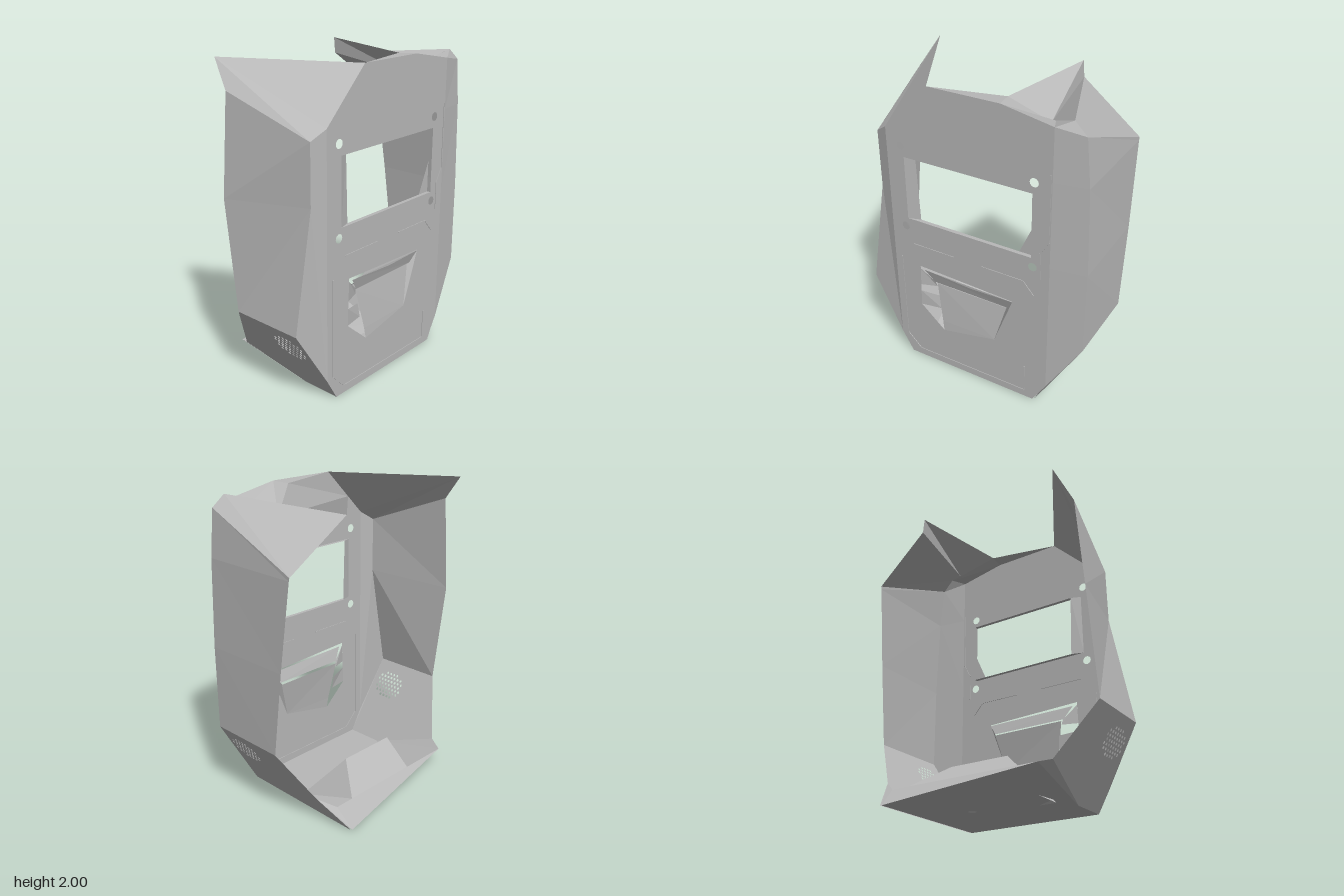
import * as THREE from 'three';

const shell = new THREE.MeshStandardMaterial({ color: 0xb8b8b8, flatShading: true, side: THREE.DoubleSide });
shell.name = 'shell grey';

// Flat outline with holes, mapped into space by a rule (u, v) -> [x, y, z]
function sheet(name, outline, holes, map) {
  const shape = new THREE.Shape(outline.map(p => new THREE.Vector2(...p)));
  for (const h of holes) shape.holes.push(new THREE.Path(h.map(p => new THREE.Vector2(...p))));
  const geo = new THREE.ShapeGeometry(shape).toNonIndexed();
  const pos = geo.attributes.position;
  for (let i = 0; i < pos.count; i++) pos.setXYZ(i, ...map(pos.getX(i), pos.getY(i)));
  geo.computeVertexNormals();
  const mesh = new THREE.Mesh(geo, shell);
  mesh.name = name;
  return mesh;
}

// Facets: each is a fan of corner points
function facets(name, polys) {
  const out = [];
  for (const p of polys)
    for (let i = 1; i < p.length - 1; i++) out.push(...p[0], ...p[i], ...p[i + 1]);
  const geo = new THREE.BufferGeometry();
  geo.setAttribute('position', new THREE.Float32BufferAttribute(out, 3));
  geo.computeVertexNormals();
  const mesh = new THREE.Mesh(geo, shell);
  mesh.name = name;
  return mesh;
}

// Wall facets between two edges with the same number of points
function between(a, b) {
  const polys = [];
  for (let i = 0; i < a.length - 1; i++) polys.push([a[i], b[i], b[i + 1], a[i + 1]]);
  return polys;
}

function ring(u, v, r, n) {
  return Array.from({ length: n }, (_, i) => {
    const a = -i / n * Math.PI * 2;
    return [u + r * Math.cos(a), v + r * Math.sin(a)];
  });
}

// Hexagonal field of small speaker holes
function grille(u, v) {
  const holes = [];
  const pitch = 0.03;
  for (let j = -4; j <= 4; j++)
    for (let i = -4; i <= 4; i++) {
      const du = (i + (j % 2 ? 0.5 : 0)) * pitch, dv = j * pitch * 0.8;
      if (Math.hypot(du, dv * 1.2) < 0.112) holes.push(ring(u + du, v + dv, 0.009, 6));
    }
  return holes;
}

export function createModel() {
  const g = new THREE.Group();
  g.name = 'enclosureShell';
  const X = 0.445; // plane of the main panel

  // Main side panel with window, screw holes and lower recess
  const recess = [[0.36, 0.745], [-0.31, 0.72], [-0.18, 0.37], [0.2, 0.29], [0.37, 0.44]];
  const screws = [];
  for (const z of [0.45, -0.44]) for (const y of [1.02, 1.57]) screws.push(ring(z, y, 0.028, 14));
  g.add(sheet('sidePanel',
    [[0.47, 0], [0.55, 0.14], [0.55, 1.67], [0.24, 1.98], [-0.23, 1.98], [-0.55, 1.92], [-0.55, 0.15], [-0.46, 0]],
    [[[0.43, 1.08], [0.43, 1.5], [-0.43, 1.5], [-0.43, 1.08]], recess, ...screws],
    (z, y) => [X, y, z]));

  // Panel margins bending in towards the walls
  g.add(facets('frontPanelMargin', between(
    [[X, 0, 0.47], [X, 0.14, 0.55], [X, 1.24, 0.55], [X, 1.67, 0.55]],
    [[X, 0, 0.47], [0.41, 0.51, 0.77], [0.41, 1.24, 0.64], [0.41, 1.61, 0.64]])));
  g.add(facets('backPanelMargin', between(
    [[X, 0, -0.46], [X, 0.15, -0.55], [X, 1.05, -0.55], [X, 1.6, -0.55], [X, 1.92, -0.55]],
    [[X, 0, -0.46], [0.41, 0.51, -0.77], [0.41, 1.05, -0.77], [0.41, 1.6, -0.75], [0.41, 1.89, -0.72]])));

  // Window reveal
  g.add(facets('windowReveal', [
    [[X, 1.08, 0.43], [X, 1.5, 0.43], [0.42, 1.5, 0.365], [0.42, 1.08, 0.35]],
    [[X, 1.5, 0.43], [X, 1.5, -0.43], [0.42, 1.5, -0.43], [0.42, 1.5, 0.365]],
    [[X, 1.08, 0.43], [X, 1.08, -0.43], [0.42, 1.08, -0.43], [0.42, 1.08, 0.35]],
    [[0.42, 1.08, -0.34], [0.42, 1.28, -0.43], [0.42, 1.08, -0.43]],
  ]));

  // Sunken flap in the lower recess, leaving slits and a corner gap open
  g.add(facets('recessFlap', [
    [[0.41, 0.625, 0.26], [0.41, 0.625, -0.25], [X, 0.37, -0.18], [0.44, 0.36, 0.21]],
    [[X, 0.725, 0.33], [X, 0.705, -0.02], [X, 0.715, -0.31], [0.42, 0.638, -0.26], [0.42, 0.638, 0.27]],
    [[X, 0.72, -0.31], [0.41, 0.63, -0.25], [X, 0.37, -0.18]],
    [[X, 0.37, -0.18], [X, 0.29, 0.2], [0.44, 0.36, 0.21]],
    [[X, 0.725, 0.36], [X, 0.6, 0.365], [0.41, 0.6, 0.26], [0.42, 0.64, 0.27]],
    [[X, 0.55, 0.367], [X, 0.44, 0.37], [0.42, 0.44, 0.23], [0.41, 0.53, 0.24]],
  ]));

  // Fine raised seams on the panel
  const seams = [
    [[0.5, 0.78], [0.5, 0.15], [0.4, 0.05], [-0.4, 0.05], [-0.4, 0.25]],
    [[-0.54, 1.64], [-0.54, 1.22], [-0.49, 1.13], [-0.49, 0.95]],
    [[0.4, 0.9], [0.1, 0.9]], [[-0.1, 0.9], [-0.38, 0.9], [-0.45, 0.82]],
  ];
  const seamGroup = new THREE.Group();
  seamGroup.name = 'panelSeams';
  for (const s of seams)
    for (let i = 0; i < s.length - 1; i++) {
      const [z0, y0] = s[i], [z1, y1] = s[i + 1];
      const m = new THREE.Mesh(new THREE.BoxGeometry(0.008, 0.007, Math.hypot(z1 - z0, y1 - y0)), shell);
      m.position.set(X, (y0 + y1) / 2, (z0 + z1) / 2);
      m.rotation.x = -Math.atan2(y1 - y0, z1 - z0);
      m.name = 'seam';
      seamGroup.add(m);
    }
  g.add(seamGroup);

  // Front wall, twisting from the panel edge to the open edge
  g.add(facets('frontWall', between(
    [[-0.07, 0.51, 0.77], [-0.16, 1.2, 0.765], [-0.155, 1.82, 0.72]],
    [[0.41, 0.51, 0.77], [0.41, 1.24, 0.64], [0.41, 1.61, 0.64]])));

  // Back wall
  g.add(facets('backWall', between(
    [[-0.12, 0.51, -0.77], [-0.19, 1.05, -0.765], [-0.265, 1.6, -0.75], [-0.27, 1.62, -0.75]],
    [[0.41, 0.51, -0.77], [0.41, 1.05, -0.77], [0.41, 1.6, -0.75], [0.41, 1.89, -0.72]])));

  // Lower sloping walls with speaker grilles
  const slope = s => (x, y) => [x, y, s * (0.47 + 0.588 * y)];
  g.add(sheet('frontLowerWall',
    [[-0.07, 0.51], [0.41, 0.51], [X, 0], [0.19, 0], [-0.25, 0.15]], grille(0.27, 0.36), slope(1)));
  g.add(sheet('backLowerWall',
    [[-0.12, 0.51], [0.41, 0.51], [X, 0], [-0.45, 0], [-0.27, 0.19]], grille(0.27, 0.36), slope(-1)));

  // Corner folds and lip along the open bottom edge
  const frontFoot = [-0.34, 0.12, 0.52], backFoot = [-0.34, 0.12, -0.48], heel = [-0.45, 0, -0.46];
  const toe = [0.19, 0, 0.47];
  g.add(facets('bottomLip', [
    [toe, [-0.25, 0.15, 0.56], frontFoot],
    [heel, [-0.27, 0.19, -0.58], backFoot],
    [heel, backFoot, frontFoot],
  ]));

  // Floor with a drain hole, folded up at the open front corner
  const drain = ring(-0.03, -0.12, 0.027, 16);
  g.add(sheet('floor', [[X, 0.47], [0.19, 0.47], [-0.45, -0.46], [X, -0.46]], [drain], (x, z) => [x, 0, z]));
  g.add(facets('floorFold', [[toe, frontFoot, heel]]));

  // Wedge inside the floor, ridge parallel to the panel
  g.add(sheet('wedgeSlope', [[-0.14, -0.2], [0.06, -0.4], [0.06, 0.4], [-0.14, 0.2]], [drain],
    (x, z) => [x, 1.3 * (0.06 - x), z]));
  const ridgeA = [-0.14, 0.26, -0.2], ridgeB = [-0.14, 0.26, 0.2];
  const rimA = [-0.34, 0.12, -0.35], rimB = [-0.34, 0.12, 0.18];
  g.add(facets('wedgeSides', [
    [rimA, ridgeA, ridgeB, rimB],
    [rimB, ridgeB, [0.06, 0, 0.4]],
    [rimA, ridgeA, [0.06, 0, -0.4]],
  ]));

  // Sloping top of the front wall
  const tip = [-0.31, 1.985, 0.66], mid = [X, 1.98, 0.24];
  g.add(facets('frontTopSlope', [
    [tip, [-0.155, 1.82, 0.72], [0.41, 1.61, 0.64]],
    [tip, [0.41, 1.61, 0.64], [X, 1.67, 0.55], mid],
  ]));

  // Folded roof at the back: sloping face, valley, and a lip rising to a spike
  const spike = [-0.31, 2, -0.35], under = [-0.31, 1.9, -0.36], ridge = [0.4, 1.96, -0.64];
  const low = [-0.27, 1.62, -0.75], corner = [0.41, 1.89, -0.72], shoulder = [X, 1.92, -0.55];
  const valley = [0.2, 1.82, -0.41], notch = [0.33, 1.9, -0.5];
  const end = [X, 1.98, -0.23], inner = [0.33, 1.975, -0.21];
  g.add(facets('backRoof', [
    [low, corner, ridge], [low, ridge, under],
    [under, ridge, valley], [ridge, notch, valley],
    [spike, under, valley], [spike, valley, inner],
    [valley, notch, end, inner], [notch, shoulder, end],
    [notch, ridge, shoulder], [ridge, corner, shoulder],
    [inner, end, mid],
  ]));
  return g;
}
